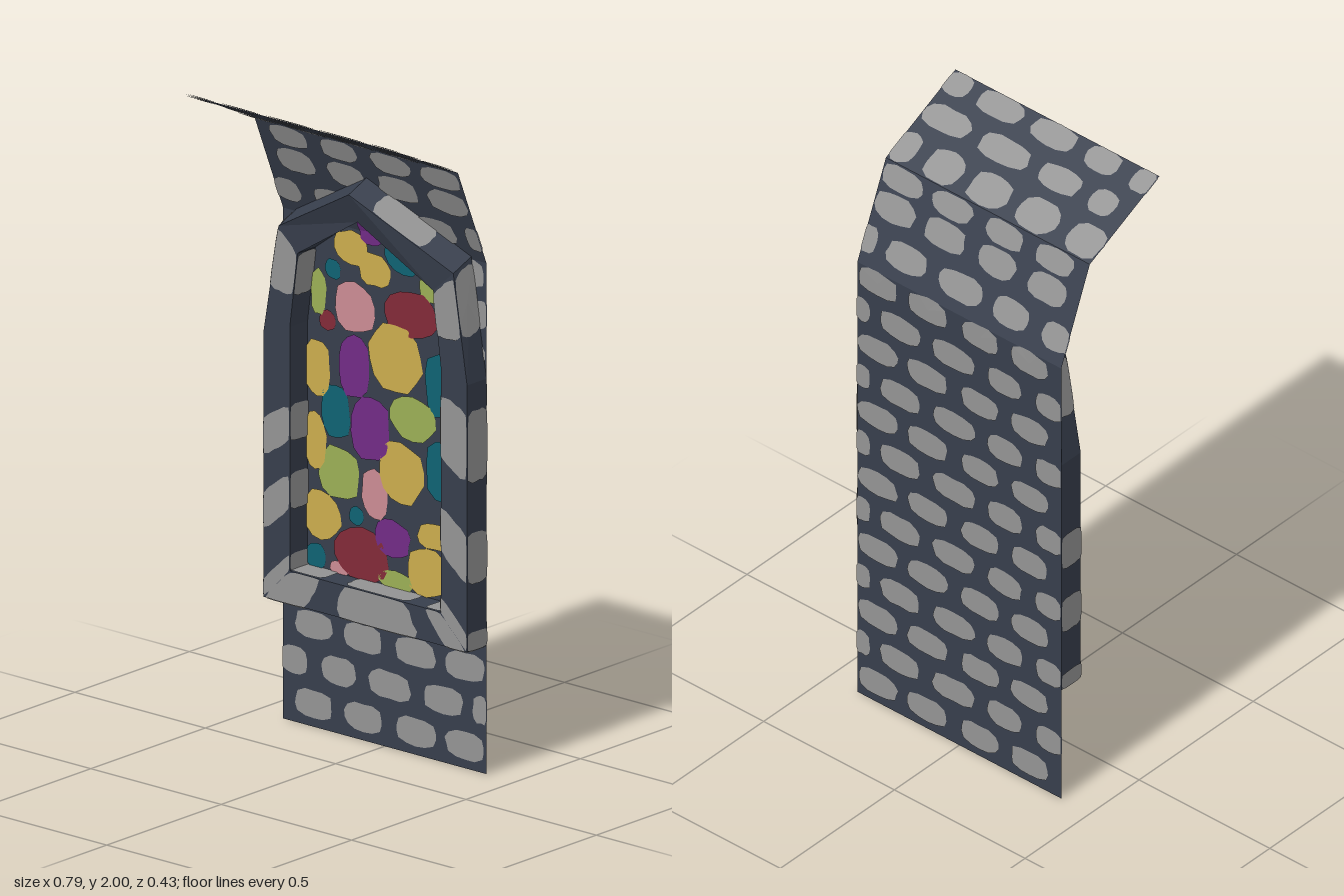
import * as THREE from 'three';

const mat = (name, color) => {
  const m = new THREE.MeshStandardMaterial({ color, side: THREE.DoubleSide });
  m.name = name;
  return m;
};

// Side profile of the wall as [y, z]; it leans forward at the top
const PROFILE = [[0, -0.215], [1.55, -0.215], [1.855, -0.09], [2, 0.215]];
const SEGS = [];
PROFILE.slice(1).forEach((b, i) => {
  const a = PROFILE[i], len = Math.hypot(b[0] - a[0], b[1] - a[1]);
  const start = i ? SEGS[i - 1].start + SEGS[i - 1].len : 0;
  SEGS.push({ a, len, start, ty: (b[0] - a[0]) / len, tz: (b[1] - a[1]) / len });
});
const TOP = SEGS[2].start + SEGS[2].len;

// Point at x, at distance v up the wall, raised d off its front face
function place(x, v, d = 0) {
  const s = SEGS.findLast((g) => v >= g.start - 1e-6) || SEGS[0];
  const t = v - s.start;
  return new THREE.Vector3(x, s.a[0] + s.ty * t - s.tz * d, s.a[1] + s.tz * t + s.ty * d);
}

// Flat-shaded mesh from a list of triangle corner points
function meshOf(name, points, material) {
  const g = new THREE.BufferGeometry().setFromPoints(points);
  g.computeVertexNormals();
  const m = new THREE.Mesh(g, material);
  m.name = name;
  return m;
}
const quad = (out, a, b, c, d) => out.push(a, b, c, a, c, d);

function fan(out, ring, centre) {
  ring.forEach((p, i) => out.push(centre, p, ring[(i + 1) % ring.length]));
}

let seed = 7;
const rnd = () => (seed = (seed * 16807) % 2147483647) / 2147483647;

// Rounded-square outline in the range -1..1
function blob(sides, power, wobble) {
  return Array.from({ length: sides }, (_, i) => {
    const a = ((i + 0.5) / sides) * Math.PI * 2, c = Math.cos(a), s = Math.sin(a);
    const r = (1 + (rnd() - 0.5) * wobble) / (Math.abs(c) ** power + Math.abs(s) ** power) ** (1 / power);
    return [c * r, s * r];
  });
}

const clamp = THREE.MathUtils.clamp;

// Half width of the window opening at height v
function opening(v) {
  if (v < 1.23) return 0.29;
  if (v < 1.46) return 0.29 - ((v - 1.23) / 0.23) * 0.03;
  return Math.max(0, 0.26 * (1.66 - v) / 0.2);
}

// Stone courses: [distance up the wall, half height, [centre x, half width]...]
const EVEN = [[-0.27, 0.07], [-0.08, 0.07], [0.12, 0.075], [0.31, 0.075]];
const ODD = [[-0.345, 0.05], [-0.175, 0.065], [0.02, 0.08], [0.225, 0.075], [0.37, 0.03]];
const COURSES = [];
for (let r = 0; r < 15; r++) COURSES.push([0.07 + r * 0.12, 0.042, r % 2 ? ODD : EVEN]);
COURSES.push(
  [1.84, 0.036, EVEN],
  [1.936, 0.053, [[-0.33, 0.06], [-0.147, 0.073], [0.035, 0.07], [0.208, 0.063], [0.355, 0.04]]],
  [2.065, 0.04, [[-0.295, 0.045], [-0.13, 0.075], [0.08, 0.09], [0.3, 0.083]]],
  [2.178, 0.039, [[-0.36, 0.04], [-0.205, 0.06], [-0.018, 0.078], [0.185, 0.08], [0.35, 0.045]]],
);

// Glass pieces by colour: [x, y, half width, half height]
const PIECES = {
  yellow: [[-.12, 1.49, .065, .05], [-.03, 1.44, .06, .05], [.25, 1.34, .03, .09], [.05, 1.19, .1, .1],
    [-.25, 1.1, .05, .085], [-.26, .875, .045, .085], [.07, .845, .085, .09], [-.235, .655, .075, .075],
    [.2, .68, .065, .04], [.17, .565, .075, .075]],
  teal: [[.08, 1.51, .075, .06], [-.19, 1.41, .03, .03], [.235, 1.145, .07, .1], [-.18, .975, .055, .08],
    [.24, .885, .075, .09], [-.1, .68, .028, .028], [-.255, .525, .04, .04]],
  purple: [[-.04, 1.56, .05, .05], [-.11, 1.13, .06, .095], [-.045, .955, .075, .1], [.04, .64, .065, .055]],
  green: [[.02, 1.61, .03, .025], [.195, 1.435, .055, .05], [-.245, 1.33, .03, .07], [.115, 1.02, .085, .065],
    [-.165, .795, .075, .08], [.05, .515, .065, .03]],
  red: [[.11, 1.335, .1, .07], [-.21, 1.25, .03, .03], [-.08, .565, .1, .08], [.275, .56, .018, .08]],
  pink: [[-.105, 1.31, .075, .075], [-.03, .76, .05, .075], [-.165, .505, .035, .022]],
};

export function createModel() {
  seed = 7;
  const group = new THREE.Group();
  const mortar = mat('mortar', 0x373e4c), stone = mat('stone', 0x939393);
  const glass = {
    yellow: mat('yellow glass', 0xcbac4d), teal: mat('teal glass', 0x0f6273),
    purple: mat('purple glass', 0x712b86), green: mat('green glass', 0x9bae55),
    red: mat('red glass', 0x822a38), pink: mat('pink glass', 0xcb8b93),
  };

  // Wall sheet
  const wall = [], W = 0.39;
  const at = [0, 1.55, SEGS[2].start, TOP];
  for (let i = 0; i < 3; i++) {
    quad(wall, place(-W, at[i]), place(W, at[i]), place(W, at[i + 1]), place(-W, at[i + 1]));
  }
  group.add(meshOf('wall', wall, mortar));

  // Stones on both faces of the wall
  const stones = [];
  for (const [v, h, row] of COURSES) {
    for (const [x, w] of row) {
      const shape = blob(14, 3.2, 0.12);
      for (const d of [0.003, -0.003]) {
        const ring = shape.map(([a, b]) => place(clamp(x + a * w, -W, W), clamp(v + b * h, 0, TOP), d));
        fan(stones, ring, place(x, v, d));
      }
    }
  }
  group.add(meshOf('wallStones', stones, stone));

  // Dark leading behind the glass
  const lead = [], levels = [0.49, 1.23, 1.46, 1.55, 1.66];
  for (let i = 0; i < 4; i++) {
    const [a, b] = [levels[i], levels[i + 1]], wa = opening(a), wb = opening(b);
    quad(lead, place(-wa, a, 0.007), place(wa, a, 0.007), place(wb, b, 0.007), place(-wb, b, 0.007));
  }
  group.add(meshOf('windowLeading', lead, mortar));

  // Coloured glass pieces, trimmed to the opening
  for (const [colour, list] of Object.entries(PIECES)) {
    const pts = [];
    for (const [x, y, w, h] of list) {
      const trim = (px, py) => {
        const v = clamp(py, 0.49, 1.65), o = opening(v);
        return place(clamp(px, -o, o), v, 0.011);
      };
      fan(pts, blob(14, 2.5, 0.16).map(([a, b]) => trim(x + a * w, y + b * h)), trim(x, y));
    }
    group.add(meshOf(colour + 'Glass', pts, glass[colour]));
  }

  // Raised window frame: outer and inner outlines, left half then mirrored
  const half = [[[-0.39, 0.39], [-0.29, 0.49]], [[-0.39, 1.2], [-0.29, 1.23]], [[-0.335, 1.56], [-0.26, 1.46]]];
  const mirrored = half.map((p) => p.map(([x, y]) => [-x, y])).reverse();
  const outline = [...half, [[0, 1.76], [0, 1.66]], ...mirrored];
  const D = 0.085;
  const rails = outline.map(([o, i]) => [place(...o, 0), place(...o, D), place(...i, D), place(...i, 0)]);

  // Stone patches along each bar: [start, end, only the outer side]
  const patches = [
    [[0, 0.07], [0.25, 0.4], [0.53, 0.68]], [[0.42, 1]], [], [[0.2, 0.7, true]],
    [[0.03, 0.6]], [[0.1, 0.37], [0.56, 0.75], [0.93, 1]], [[0, 0.11], [0.23, 0.65], [0.79, 1]],
  ];
  const frame = [], frameStones = [];
  rails.forEach((r, i) => {
    const n = rails[(i + 1) % rails.length];
    for (let f = 0; f < 3; f++) {
      const [a, b, c, d] = [r[f], n[f], n[f + 1], r[f + 1]];
      quad(frame, a, b, c, d);
      const out = d.clone().sub(a).cross(b.clone().sub(a)).normalize().multiplyScalar(0.003);
      const on = (t, s) => a.clone().lerp(b, t).lerp(d.clone().lerp(c, t), s).add(out);
      for (const [t0, t1, outerOnly] of patches[i]) {
        if (outerOnly && f) continue;
        const ring = blob(20, 6, 0.06).map(([u, v]) =>
          on(clamp((t0 + t1) / 2 + (u * (t1 - t0)) / 2, 0, 1), clamp(0.5 + v * 0.53, 0, 1)));
        fan(frameStones, ring, on((t0 + t1) / 2, 0.5));
      }
    }
  });
  group.add(meshOf('windowFrame', frame, mortar), meshOf('windowFrameStones', frameStones, stone));
  return group;
}
